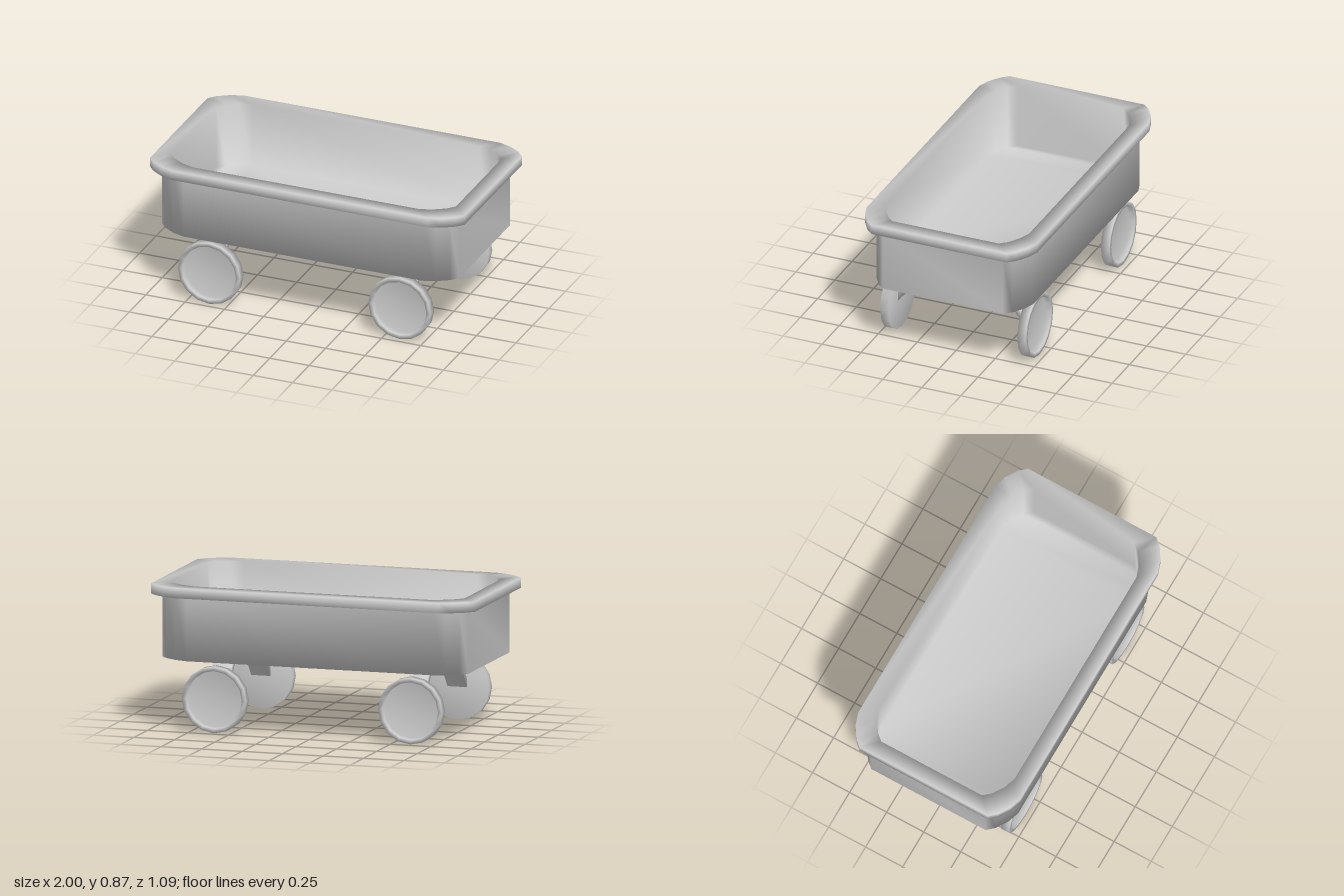
import * as THREE from 'three';
import { mergeVertices } from 'three/addons/utils/BufferGeometryUtils.js';

const material = new THREE.MeshStandardMaterial({ color: 0xcccccc, side: THREE.DoubleSide });

function addMesh(parent, name, geometry) {
  const mesh = new THREE.Mesh(geometry, material);
  mesh.name = name;
  parent.add(mesh);
  return mesh;
}

// Rectangle with softly faceted corners, as [x, z] pairs
function outline(hx, hz) {
  const corner = [[0, 0.115], [0.04, 0.07], [0.11, 0.025], [0.185, 0]];
  const points = [];
  for (const [sx, sz] of [[1, 1], [-1, 1], [-1, -1], [1, -1]]) {
    const run = corner.map(([dx, dz]) => [sx * (hx - dx), sz * (hz - dz)]);
    points.push(...(sx * sz > 0 ? run : run.reverse()));
  }
  return points;
}

// Closed skin over rings given as [half width, half depth, height], capped at both ends
function skin(rings) {
  const positions = [], index = [];
  for (const [hx, hz, y] of rings) {
    for (const [x, z] of outline(hx, hz)) positions.push(x, y, z);
  }
  const n = positions.length / 3 / rings.length;
  const last = (rings.length - 1) * n;
  for (let a = 0; a < last; a += n) {
    for (let i = 0; i < n; i++) {
      const j = (i + 1) % n;
      index.push(a + i, a + n + i, a + n + j, a + i, a + n + j, a + j);
    }
  }
  // Caps in strips across the depth, so that they shade evenly
  for (let i = 0; i < n / 2 - 1; i++) {
    const [p, q, r, s] = [i, i + 1, n - 2 - i, n - 1 - i];
    index.push(p, q, r, p, r, s);
    index.push(last + p, last + r, last + q, last + p, last + s, last + r);
  }
  const geometry = new THREE.BufferGeometry();
  geometry.setAttribute('position', new THREE.Float32BufferAttribute(positions, 3));
  geometry.setIndex(index);
  geometry.computeVertexNormals();
  return geometry;
}

// Bent axle bar, its side profile drawn in z and y
function axleGeometry() {
  const half = [[0.26, 0.378], [0.415, 0.194], [0.415, 0.25], [0.27, 0.426]];
  const mirrored = half.map(([z, y]) => [-z, y]).reverse();
  const shape = new THREE.Shape([...half, ...mirrored].map(([z, y]) => new THREE.Vector2(z, y)));
  let geometry = new THREE.ExtrudeGeometry(shape, { depth: 0.12, bevelEnabled: false });
  geometry.translate(0, 0, -0.06).rotateY(-Math.PI / 2);
  geometry.deleteAttribute('normal');
  geometry.deleteAttribute('uv');
  geometry = mergeVertices(geometry);
  geometry.computeVertexNormals();
  return geometry;
}

// Wheel with a raised tyre around a recessed disc, hollow side facing +z
function wheelGeometry() {
  const profile = [[0, 0], [0.198, 0], [0.198, 0.055], [0.172, 0.055], [0.168, 0.02], [0, 0.02]];
  const geometry = new THREE.LatheGeometry(profile.map(([r, y]) => new THREE.Vector2(r, y)), 16);
  return geometry.rotateX(Math.PI / 2);
}

export function createModel() {
  const wagon = new THREE.Group();
  wagon.name = 'wagon';

  // Thick-walled tub: outer wall, overhanging rim, inner wall and floor
  addMesh(wagon, 'tub', skin([
    [0.945, 0.5, 0.425], [0.945, 0.5, 0.805],
    [1, 0.547, 0.805], [1, 0.547, 0.865],
    [0.906, 0.455, 0.865], [0.906, 0.455, 0.47],
  ]));

  // Two axles, each with a pair of wheels
  const axle = axleGeometry(), wheel = wheelGeometry();
  for (const [side, x] of [['left', 0.6], ['right', -0.612]]) {
    const set = new THREE.Group();
    set.name = side + 'WheelSet';
    set.position.x = x;
    addMesh(set, 'axle', axle);
    for (const sign of [1, -1]) {
      const mesh = addMesh(set, sign > 0 ? 'frontWheel' : 'backWheel', wheel);
      mesh.position.set(0, 0.198, sign * 0.412);
      mesh.rotation.y = sign > 0 ? 0 : Math.PI;
    }
    wagon.add(set);
  }
  return wagon;
}
